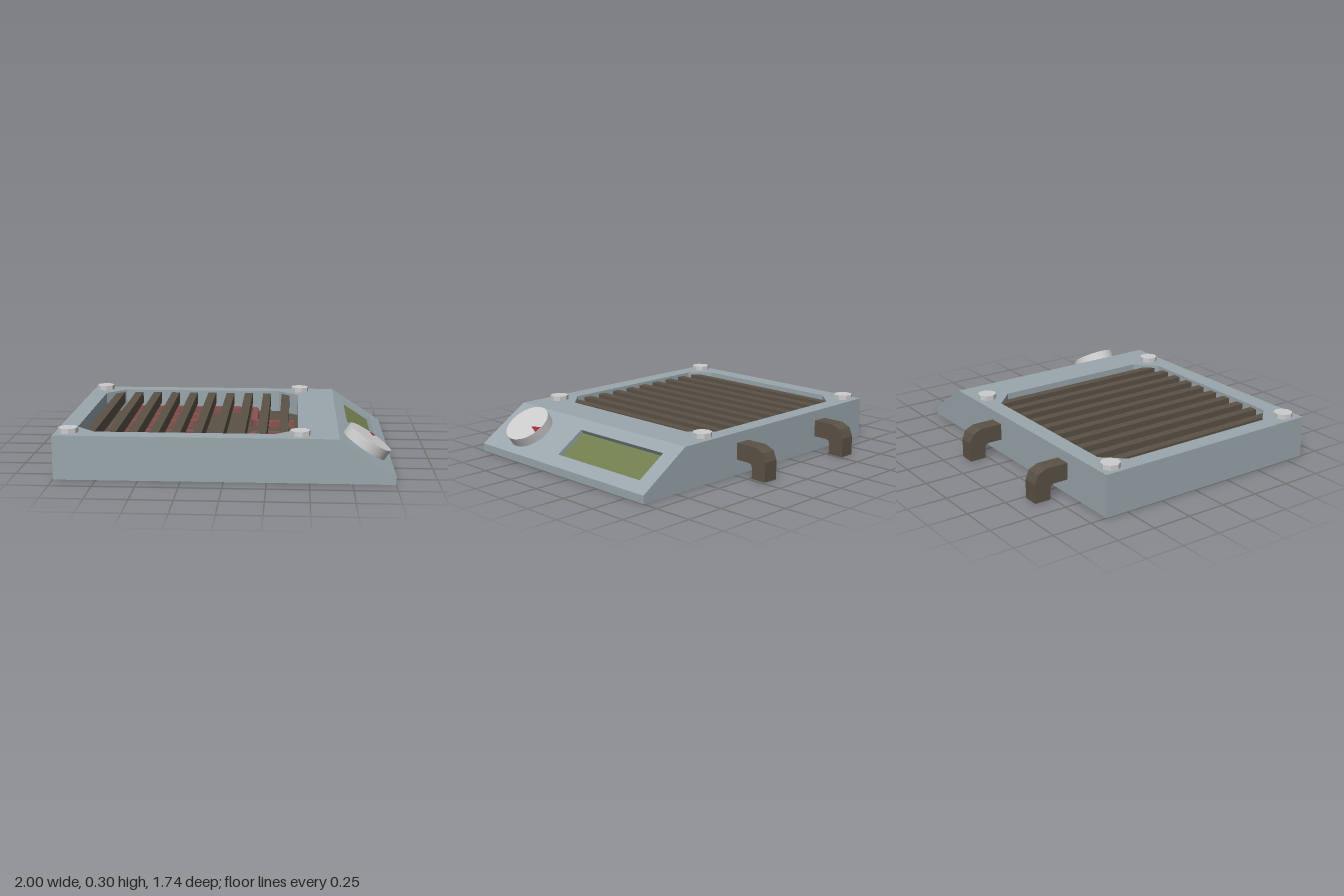
import * as THREE from 'three';

const mat = (color, flatShading = true) =>
  new THREE.MeshStandardMaterial({ color, flatShading, side: THREE.DoubleSide });
const BODY = mat(0x9aa7ad), IRON = mat(0x5c5246), COIL = mat(0x8a5250);
const METAL = mat(0xcccccc), KNOB = mat(0xcccccc, false), SCREEN = mat(0x717d4e), RED = mat(0x9a2c34);

// Extent of the body
const BACK = -0.645, FRONT = 0.87, TOP = 0.265, LIP = 0.05, CREST = 0.67;

const pts = (list) => list.map(([x, y]) => new THREE.Vector2(x, y));
const shape = (list) => new THREE.Shape(pts(list));
const rect = (x0, y0, x1, y1) => [[x0, y0], [x1, y0], [x1, y1], [x0, y1]];

function add(parent, name, geometry, material, x = 0, y = 0, z = 0) {
  const mesh = new THREE.Mesh(geometry, material);
  mesh.name = name;
  mesh.position.set(x, y, z);
  parent.add(mesh);
  return mesh;
}

// Flat panel with an optional hole
function panel(outline, hole) {
  const s = shape(outline);
  if (hole) s.holes.push(new THREE.Path(pts(hole)));
  return new THREE.ShapeGeometry(s);
}

// Walls running back from an outline along -z, facing the left of its direction
function walls(line, depth, closed = true) {
  const pos = [];
  const n = closed ? line.length : line.length - 1;
  for (let i = 0; i < n; i++) {
    const a = line[i], b = line[(i + 1) % line.length];
    pos.push(...a, 0, ...b, 0, ...b, -depth, ...a, 0, ...b, -depth, ...a, -depth);
  }
  const g = new THREE.BufferGeometry();
  g.setAttribute('position', new THREE.Float32BufferAttribute(pos, 3));
  g.computeVertexNormals();
  return g;
}

// Polyline with rounded corners, as a path for the coil
function roundedPath(corners, r) {
  const path = new THREE.CurvePath();
  const v = corners.map(([x, y]) => new THREE.Vector3(x, y, 0));
  let from = v[0];
  for (let i = 1; i < v.length - 1; i++) {
    const a = v[i].clone().add(v[i - 1].clone().sub(v[i]).setLength(r));
    const b = v[i].clone().add(v[i + 1].clone().sub(v[i]).setLength(r));
    path.add(new THREE.LineCurve3(from, a));
    path.add(new THREE.QuadraticBezierCurve3(a, v[i], b));
    from = b;
  }
  path.add(new THREE.LineCurve3(from, v[v.length - 1]));
  return path;
}

export function createModel() {
  const model = new THREE.Group();
  model.name = 'hotPlate';

  // Casing sides and bottom
  const profile = [[-1, 0], [1, 0], [1, LIP], [CREST, TOP], [-1, TOP]];
  add(model, 'frontSide', panel(profile), BODY, 0, 0, FRONT);
  const back = add(model, 'backSide', panel(profile.map(([x, y]) => [-x, y])), BODY, 0, 0, BACK);
  back.rotation.y = Math.PI;
  add(model, 'casingWrap', walls([[1, LIP], [1, 0], [-1, 0], [-1, TOP]], FRONT - BACK, false), BODY, 0, 0, FRONT);

  // Top deck: local x is x, local y points to the back, local z is up
  const deck = new THREE.Group();
  deck.name = 'topDeck';
  deck.position.y = TOP;
  deck.rotation.x = -Math.PI / 2;
  model.add(deck);
  const well = [[-0.77, -0.755], [0.3, -0.755], [0.43, -0.63], [0.43, 0.41],
    [0.3, 0.54], [-0.77, 0.54], [-0.89, 0.41], [-0.89, -0.63]];
  const depth = 0.14;
  add(deck, 'deckPanel', panel(rect(-1, -FRONT, CREST, -BACK), well), BODY);
  add(deck, 'wellWalls', walls(well, depth), BODY);
  add(deck, 'wellFloor', panel(well), IRON, 0, 0, -depth);

  // Heating coil
  const path = roundedPath([[0.405, 0.045], [0.145, 0.045], [0.145, 0.47], [-0.755, 0.47],
    [-0.755, 0.23], [-0.22, 0.23], [-0.22, 0.02], [-0.755, 0.02], [-0.755, -0.25], [-0.22, -0.25],
    [-0.22, -0.46], [-0.755, -0.46], [-0.755, -0.69], [0.145, -0.69], [0.145, -0.27], [0.405, -0.27]], 0.065);
  add(deck, 'heatingCoil', new THREE.ExtrudeGeometry(shape(rect(-0.02, -0.02, 0.02, 0.02)),
    { steps: 360, extrudePath: path }), COIL, 0, 0, 0.02 - depth);

  // Grill slats, trimmed to the cut corners of the well
  const trim = (x) => Math.max(0, -0.77 - x, x - 0.3) * 1.04;
  for (let i = 0; i < 10; i++) {
    const x0 = -0.835 + 0.128 * i, x1 = x0 + 0.055;
    const s = shape([[x0, -0.75 + trim(x0)], [x1, -0.75 + trim(x1)], [x1, 0.537 - trim(x1)], [x0, 0.537 - trim(x0)]]);
    add(deck, 'grillSlat', new THREE.ExtrudeGeometry(s, { depth: 0.075, bevelEnabled: false }), IRON, 0, 0, -0.09);
  }

  // Corner bolts
  const bolt = new THREE.CylinderGeometry(0.06, 0.06, 0.03, 8).rotateX(Math.PI / 2).rotateZ(0.2);
  for (const x of [-0.92, 0.443])
    for (const y of [-0.775, 0.56]) add(deck, 'cornerBolt', bolt, METAL, x, y, 0.015);

  // Sloping control panel: local x runs down the slope, local z stands out from it
  const slope = new THREE.Group();
  slope.name = 'controlPanel';
  const down = new THREE.Vector3(1 - CREST, LIP - TOP, 0);
  const length = down.length();
  const across = new THREE.Vector3(0, 0, -1);
  down.normalize();
  slope.quaternion.setFromRotationMatrix(
    new THREE.Matrix4().makeBasis(down, across, down.clone().cross(across)));
  slope.position.set(CREST, TOP, 0);
  model.add(slope);
  const opening = rect(0.084, -0.195, 0.305, 0.535);
  add(slope, 'slopePanel', panel(rect(0, -FRONT, length, -BACK), opening), BODY);
  add(slope, 'screenFrame', walls(opening, 0.03), BODY);
  add(slope, 'screen', panel(opening), SCREEN, 0, 0, -0.03);

  // Knob with its red pointer
  const dial = new THREE.Group();
  dial.name = 'dial';
  dial.position.set(0.19, -0.58, 0);
  slope.add(dial);
  add(dial, 'knob', new THREE.CylinderGeometry(0.147, 0.147, 0.064, 40).rotateX(Math.PI / 2), KNOB, 0, 0, 0.032);
  add(dial, 'pointer', panel([[0.018, 0.065], [0.05, 0.138], [0, 0.146]]), RED, 0, 0, 0.0655);

  // Bent legs at the back; local x runs to the back
  const leg = shape([[0, 0.2], [0.145, 0.2], [0.202, 0.175], [0.225, 0.12], [0.225, 0],
    [0.12, 0], [0.12, 0.07], [0.113, 0.088], [0.095, 0.095], [0, 0.095]]);
  const legGeometry = new THREE.ExtrudeGeometry(leg, { depth: 0.1, bevelEnabled: false }).rotateY(Math.PI / 2);
  for (const x of [-0.615, 0.13]) add(model, 'backLeg', legGeometry, IRON, x, 0, BACK);

  return model;
}
